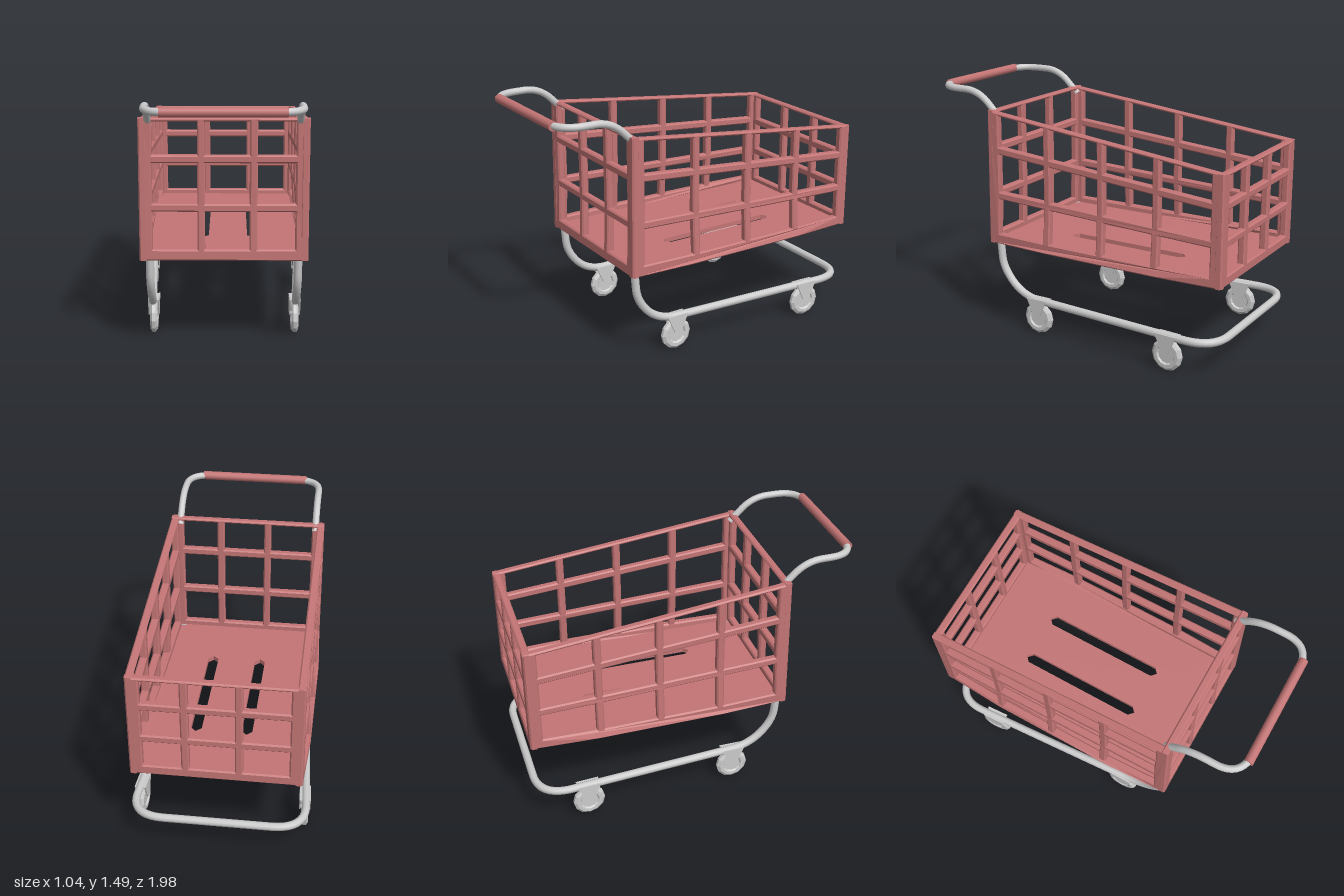
import * as THREE from 'three';

const RED = new THREE.MeshStandardMaterial({ color: 0xc47575, flatShading: true });
const GRIP = new THREE.MeshStandardMaterial({ color: 0xc47575 });
const METAL = new THREE.MeshStandardMaterial({ color: 0xcccccc });
const FLAT = new THREE.MeshStandardMaterial({ color: 0xcccccc, flatShading: true });

const WALL = 0.045, BEVEL = 0.008;
const FRONT = 0.565, BACK = -0.99, HALF = 0.48;

// Heights of the grid lines at the handle end and at the far end
const HIGH = [0.545, 0.61, 0.83, 0.875, 1.11, 1.155, 1.345, 1.365];
const LOW = [0.545, 0.605, 0.77, 0.815, 0.98, 1.025, 1.17, 1.19];
const SIDE_COLUMNS = [[-0.49, -0.17], [-0.125, 0.195], [0.24, 0.555], [0.6, 0.915]];
const END_COLUMNS = [[-0.405, -0.15], [-0.105, 0.105], [0.15, 0.405]];
END_COLUMNS[1] = [-0.107, 0.145];
END_COLUMNS[2] = [0.19, 0.405];

function add(parent, name, geometry, material) {
  const mesh = new THREE.Mesh(geometry, material);
  mesh.name = name;
  parent.add(mesh);
  return mesh;
}

const polygon = (Type, pts) => new Type(pts.map(([x, y]) => new THREE.Vector2(x, y)));

// Bevelled lattice wall between u0 and u1; height(i, u) gives the grid lines
function lattice(u0, u1, columns, height) {
  const at = (u, i) => [u, height(i, u)];
  const edges = [u0, ...columns.flat(), u1];
  const shape = polygon(THREE.Shape, [...edges.map(u => at(u, 0)), at(u1, 7), at(u0, 7)]);
  for (const [a, b] of columns)
    for (const r of [1, 3, 5])
      shape.holes.push(polygon(THREE.Path, [at(a, r), at(a, r + 1), at(b, r + 1), at(b, r)]));
  return new THREE.ExtrudeGeometry(shape, {
    depth: WALL - 2 * BEVEL, bevelThickness: BEVEL, bevelSize: BEVEL,
    bevelOffset: -BEVEL, bevelSegments: 1,
  }).translate(0, 0, BEVEL - WALL / 2);
}

// Bow the lower part of the walls slightly outward
function flare(geometry) {
  const p = geometry.attributes.position;
  for (let i = 0; i < p.count; i++) {
    const x = p.getX(i), y = p.getY(i), z = p.getZ(i);
    const t = THREE.MathUtils.clamp((0.85 - y) / 0.3, 0, 1);
    const middle = THREE.MathUtils.clamp(Math.min(FRONT - z, z - BACK) / 0.35, 0, 1);
    if (Math.abs(x) > 0.43) p.setX(i, x + Math.sign(x) * 0.02 * t * middle);
    if (z > 0.48) p.setZ(i, z + 0.01 * t);
  }
  geometry.computeVertexNormals();
  return geometry;
}

// Polyline with rounded corners: each entry is [x, y, z, cornerLength]
function roundedPath(entries) {
  const path = new THREE.CurvePath();
  const pts = entries.map(e => new THREE.Vector3(e[0], e[1], e[2]));
  let from = pts[0];
  for (let i = 1; i < pts.length - 1; i++) {
    const toward = (q) => pts[i].clone().add(q.clone().sub(pts[i]).setLength(entries[i][3]));
    const a = toward(pts[i - 1]), b = toward(pts[i + 1]);
    path.add(new THREE.LineCurve3(from, a));
    path.add(new THREE.QuadraticBezierCurve3(a, pts[i], b));
    from = b;
  }
  path.add(new THREE.LineCurve3(from, pts[pts.length - 1]));
  return path;
}

// Complete a half path with its mirror image in x
const mirrored = half => [...half, ...half.slice().reverse().map(([x, ...rest]) => [-x, ...rest])];

function buildBasket() {
  const basket = new THREE.Group();
  basket.name = 'basket';
  const slope = (i, u) => THREE.MathUtils.mapLinear(u, -FRONT, -BACK, HIGH[i], LOW[i]);
  for (const s of [1, -1]) {
    const side = lattice(-FRONT, -BACK, SIDE_COLUMNS, slope).rotateY(Math.PI / 2);
    side.translate(s * (HALF - WALL / 2), 0, 0);
    add(basket, s > 0 ? 'leftWall' : 'rightWall', flare(side), RED);
  }
  const front = lattice(-HALF, HALF, END_COLUMNS, i => HIGH[i]).translate(0, 0, FRONT - WALL / 2);
  add(basket, 'frontWall', flare(front), RED);
  const back = lattice(-HALF, HALF, END_COLUMNS, i => LOW[i]).translate(0, 0, BACK + WALL / 2);
  add(basket, 'backWall', flare(back), RED);

  // Floor with two pointed slots
  const x = 0.465, z0 = BACK + 0.01, z1 = FRONT - 0.01;
  const floor = polygon(THREE.Shape, [[-x, z0], [x, z0], [x, z1], [-x, z1]]);
  for (const c of [-0.127, 0.169]) {
    const w = 0.032, a = -0.61, b = 0.17;
    floor.holes.push(polygon(THREE.Path, [[c, a], [c - w, a + 0.03], [c - w, b - 0.03],
      [c, b], [c + w, b - 0.03], [c + w, a + 0.03]]));
  }
  const slab = new THREE.ExtrudeGeometry(floor, { depth: 0.028, bevelEnabled: false });
  add(basket, 'floor', slab.rotateX(Math.PI / 2).translate(0, 0.575, 0), RED);
  return basket;
}

function buildCaster() {
  const caster = new THREE.Group();
  // Wheel with a rounded tyre and recessed hub
  const half = [[0, 0.012], [0.052, 0.012], [0.06, 0.021], [0.08, 0.021], [0.097, 0.009]];
  const profile = [...half.map(([r, y]) => [r, -y]), ...half.slice().reverse()]
    .map(([r, y]) => new THREE.Vector2(r, y));
  const wheel = new THREE.LatheGeometry(profile, 12).rotateZ(Math.PI / 2);
  add(caster, 'wheel', wheel, FLAT).position.y = 0.097;
  // Fork: tapered plates either side, joined by a cap
  const plate = polygon(THREE.Shape, [[-0.07, 0.222], [-0.022, 0.115], [0.022, 0.115], [0.07, 0.222]]);
  for (const s of [1, -1]) {
    const g = new THREE.ExtrudeGeometry(plate, { depth: 0.008, bevelEnabled: false });
    g.translate(0, 0, -0.004).rotateY(Math.PI / 2);
    add(caster, 'forkPlate', g, FLAT).position.x = s * 0.029;
  }
  add(caster, 'forkCap', new THREE.BoxGeometry(0.06, 0.014, 0.13), FLAT).position.y = 0.215;
  const axle = new THREE.CylinderGeometry(0.012, 0.012, 0.062, 8).rotateZ(Math.PI / 2);
  add(caster, 'axle', axle, FLAT).position.y = 0.118;
  return caster;
}

export function createModel() {
  const cart = new THREE.Group();
  cart.name = 'shoppingCart';
  cart.add(buildBasket());

  // Lower frame: legs, splayed rails and rear crossbar in one tube
  const frame = roundedPath(mirrored([
    [0.425, 0.58, 0.535], [0.425, 0.4, 0.52, 0.05], [0.42, 0.21, 0.41, 0.17], [0.508, 0.21, -0.967, 0.2],
  ]));
  add(cart, 'lowerFrame', new THREE.TubeGeometry(frame, 160, 0.024, 10), METAL);

  // Push handle with coloured grip
  const handle = roundedPath(mirrored([
    [0.425, 1.32, 0.52], [0.425, 1.463, 0.665, 0.1], [0.425, 1.463, 0.963, 0.15],
  ]));
  add(cart, 'handle', new THREE.TubeGeometry(handle, 120, 0.021, 10), METAL);
  const grip = new THREE.CylinderGeometry(0.027, 0.027, 0.67, 12).rotateZ(Math.PI / 2);
  add(cart, 'grip', grip, GRIP).position.set(0, 1.463, 0.963);

  // Four casters under the rails
  for (const s of [1, -1])
    for (const [name, x, z, yaw] of [['frontCaster', 0.425, 0.255, 0], ['backCaster', 0.485, -0.67, -0.06]]) {
      const caster = buildCaster();
      caster.name = name;
      caster.position.set(s * x, 0, z);
      caster.rotation.y = s * yaw;
      cart.add(caster);
    }
  return cart;
}
